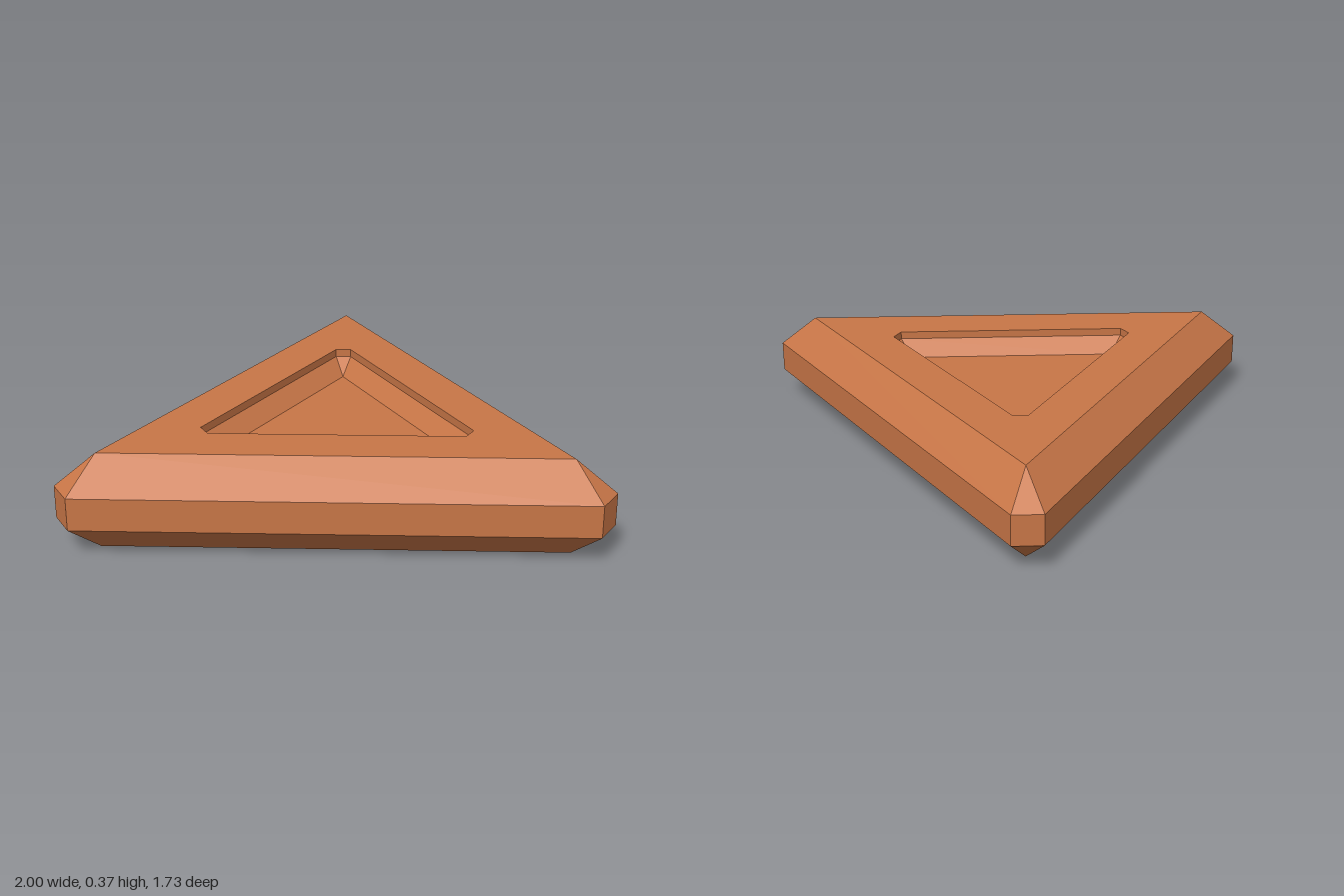
import * as THREE from 'three';

const CENTER_Z = 0.254;

// Three-cornered ring: each corner lies `dist` from the centre and is cut flat by 2 * `half`
function ring([dist, half, y]) {
  const points = [];
  for (let k = 0; k < 3; k++) {
    const a = (k * Math.PI * 2) / 3;
    for (const s of [-half, half]) {
      points.push(new THREE.Vector3(
        Math.sin(a) * dist + Math.cos(a) * s,
        y,
        CENTER_Z - Math.cos(a) * dist + Math.sin(a) * s
      ));
    }
  }
  return points;
}

// Flat-faced skin through successive rings, skipping collapsed triangles
function loft(profile) {
  const rings = profile.map(ring);
  const positions = [];
  const triangle = (a, b, c) => {
    if (new THREE.Triangle(a, b, c).getArea() < 1e-6) return;
    for (const p of [a, b, c]) positions.push(p.x, p.y, p.z);
  };
  for (let i = 0; i < rings.length - 1; i++) {
    const lo = rings[i], hi = rings[i + 1];
    for (let j = 0; j < 6; j++) {
      const n = (j + 1) % 6;
      triangle(lo[j], hi[j], hi[n]);
      triangle(lo[j], hi[n], lo[n]);
    }
  }
  const geometry = new THREE.BufferGeometry();
  geometry.setAttribute('position', new THREE.Float32BufferAttribute(positions, 3));
  geometry.computeVertexNormals();
  return geometry;
}

export function createModel() {
  const group = new THREE.Group();
  group.name = 'triangularSlab';
  const copper = new THREE.MeshStandardMaterial({ color: 0xc87647 });
  copper.name = 'copper';
  const H = 0.371;

  const add = (name, profile) => {
    const mesh = new THREE.Mesh(loft(profile), copper);
    mesh.name = name;
    group.add(mesh);
  };

  // Bevelled outer body with open middles on both faces
  add('body', [
    [0.56, 0.03, 0], [0.98, 0, 0], [1.12, 0.06, 0.123],
    [1.12, 0.06, 0.248], [0.98, 0, H], [0.56, 0.03, H],
  ]);

  // Recess: short upright wall, sloped wall, flat floor; mirrored underneath
  const recess = [[0.56, 0.03, H], [0.56, 0.03, H - 0.031], [0.49, 0, H - 0.0925], [0, 0, H - 0.0925]];
  add('topRecess', recess);
  add('bottomRecess', recess.map(([d, h, y]) => [d, h, H - y]).reverse());

  return group;
}
